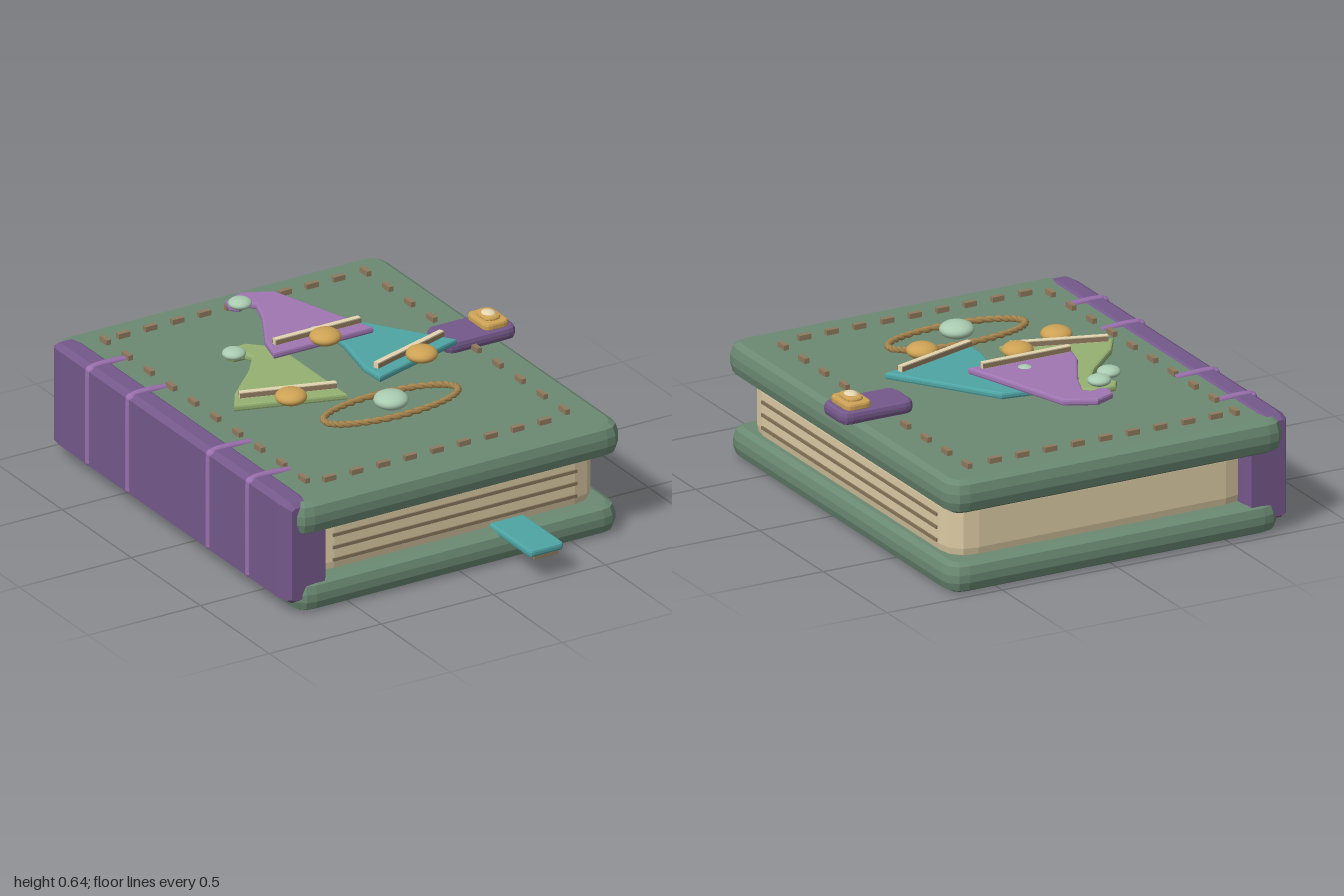
import * as THREE from 'three';

const COLORS = {
  cover: 0x6b8a73, spine: 0x74588a, cord: 0x9b70ae, pages: 0xdccba4, line: 0x857559,
  thread: 0x8f7a5e, green: 0x94b072, purple: 0xa076b2, teal: 0x4fa5a5,
  pom: 0xa9cbb0, gold: 0xcda255, cream: 0xe3d5b0, rope: 0xa9874f,
};
const mats = {};
for (const k in COLORS) {
  mats[k] = new THREE.MeshStandardMaterial({ color: COLORS[k] });
}

function add(parent, name, geo, mat, x = 0, y = 0, z = 0) {
  const m = new THREE.Mesh(geo, mats[mat]);
  m.name = name;
  m.position.set(x, y, z);
  parent.add(m);
  return m;
}

function roundedRect(w, d, r) {
  const s = new THREE.Shape(), x = w / 2, y = d / 2;
  s.moveTo(-x + r, -y);
  s.lineTo(x - r, -y).quadraticCurveTo(x, -y, x, -y + r);
  s.lineTo(x, y - r).quadraticCurveTo(x, y, x - r, y);
  s.lineTo(-x + r, y).quadraticCurveTo(-x, y, -x, y - r);
  s.lineTo(-x, -y + r).quadraticCurveTo(-x, -y, -x + r, -y);
  return s;
}

// Lies flat, centred in height
function flatExtrude(shape, height, thick, size, segments = 2, curveSegments = 3) {
  const g = new THREE.ExtrudeGeometry(shape, {
    depth: height - 2 * thick, bevelThickness: thick, bevelSize: size,
    bevelSegments: segments, curveSegments,
  });
  g.translate(0, 0, thick - height / 2);
  return g.rotateX(-Math.PI / 2);
}

// Bevelled slab given by its outer limits
function slab(parent, name, mat, [x0, x1], [y0, y1], [z0, z1], r, thick, size) {
  const shape = roundedRect(x1 - x0 - 2 * size, z1 - z0 - 2 * size, r);
  return add(parent, name, flatExtrude(shape, y1 - y0, thick, size), mat,
    (x0 + x1) / 2, (y0 + y1) / 2, (z0 + z1) / 2);
}

function pebble(parent, name, mat, r, h, x, y, z) {
  return add(parent, name, new THREE.SphereGeometry(r, 24, 16), mat, x, y, z).scale.y = h / r;
}

function bar(parent, name, mat, w, h, d, x, y, z) {
  return add(parent, name, new THREE.BoxGeometry(w, h, d), mat, x, y, z);
}

// Pointed hat with a curled tip, brim band, bell and pompom
function hat(parent, mat, x, y, z, angle) {
  const g = new THREE.Group();
  g.name = mat + 'Hat';
  const outline = [[-0.212, 0.01], [0.212, 0.01], [0.165, 0.15], [0.064, 0.47],
    [-0.048, 0.525], [-0.125, 0.492], [-0.135, 0.455], [-0.115, 0.435],
    [-0.068, 0.448], [-0.04, 0.415], [-0.082, 0.3], [-0.185, 0.11]];
  const shape = new THREE.Shape(outline.map(p => new THREE.Vector2(...p)));
  add(g, 'hatBody', flatExtrude(shape, 0.028, 0.009, 0.009), mat);
  bar(g, 'hatBand', 'cream', 0.38, 0.024, 0.022, 0, 0.034, -0.052);
  for (const s of [-1, 1]) bar(g, 'bandEdge', 'thread', 0.38, 0.018, 0.006, 0, 0.034, -0.052 + s * 0.012);
  pebble(g, 'bell', 'gold', 0.062, 0.031, -0.004, 0.038, 0.017);
  pebble(g, 'pompom', 'pom', pomRadius(mat), 0.022, -0.122, 0.036, -0.41);
  g.position.set(x, y, z);
  g.rotation.y = angle;
  parent.add(g);
}
function pomRadius(mat) { return mat === 'teal' ? 0.036 : 0.046; }

export function createModel() {
  const book = new THREE.Group();
  book.name = 'book';

  // Covers and page block
  slab(book, 'bottomCover', 'cover', [-0.735, 0.71], [0, 0.122], [-0.98, 0.785], 0.05, 0.045, 0.035);
  slab(book, 'topCover', 'cover', [-0.75, 0.717], [0.327, 0.462], [-0.995, 0.795], 0.05, 0.05, 0.035);
  slab(book, 'pages', 'pages', [-0.64, 0.66], [0.1, 0.35], [-0.903, 0.705], 0.09, 0.05, 0.025);

  // Page lines on the front and fore edge
  for (let i = 0; i < 4; i++) {
    const y = 0.16 + i * 0.052;
    bar(book, 'pageLine', 'line', 1.09, 0.013, 0.014, 0.01, y, 0.704);
    bar(book, 'pageLine', 'line', 0.014, 0.013, 1.37, 0.659, y, -0.097);
  }

  // Spine, chamfered at both ends
  const profile = [[-0.753, 0.068], [-0.74, 0.06], [-0.69, 0.06], [-0.606, 0.11], [-0.606, 0.4],
    [-0.69, 0.448], [-0.74, 0.448], [-0.753, 0.44]];
  const spine = new THREE.ExtrudeGeometry(
    new THREE.Shape(profile.map(p => new THREE.Vector2(...p))),
    { depth: 1.585, bevelThickness: 0.07, bevelSize: 0.02, bevelSegments: 2 });
  add(book, 'spine', spine, 'spine', 0, 0, -0.89);

  // Cords wrapped over the spine
  const cordPath = new THREE.CatmullRomCurve3([
    [-0.585, 0.456], [-0.68, 0.462], [-0.745, 0.46], [-0.764, 0.44], [-0.765, 0.25], [-0.765, 0.07],
  ].map(([x, y]) => new THREE.Vector3(x, y, 0)), false, 'catmullrom', 0.3);
  for (const z of [-0.688, -0.397, 0.185, 0.472]) {
    add(book, 'spineCord', new THREE.TubeGeometry(cordPath, 32, 0.016, 8), 'cord', 0, 0, z);
    pebble(book, 'cordKnot', 'cord', 0.022, 0.022, -0.756, 0.448, z);
    pebble(book, 'cordKnot', 'cord', 0.02, 0.02, -0.76, 0.07, z);
  }

  // Stitching around the top cover
  for (let i = 0; i < 9; i++) {
    for (const z of [-0.852, 0.64]) bar(book, 'stitch', 'thread', 0.052, 0.022, 0.02, -0.51 + i * 0.12, 0.472, z);
  }
  for (let i = 0; i < 10; i++) {
    for (const x of [-0.595, 0.567]) bar(book, 'stitch', 'thread', 0.02, 0.022, 0.052, x, 0.472, -0.846 + i * 0.16);
  }

  // Three overlapping hats
  hat(book, 'green', -0.315, 0.497, 0.045, -0.31);
  hat(book, 'teal', 0.254, 0.535, 0.05, 0.3);
  hat(book, 'purple', -0.013, 0.572, -0.206, 0);

  // Oval rope of two twisted strands with a stone in the middle
  for (const phase of [0, Math.PI]) {
    const pts = [];
    for (let i = 0; i < 160; i++) {
      const a = i / 160 * Math.PI * 2, t = a * 20 + phase, k = 0.005 * Math.cos(t);
      pts.push(new THREE.Vector3(Math.cos(a) * (0.294 + k), 0.005 * Math.sin(t), Math.sin(a) * (0.102 + k)));
    }
    const path = new THREE.CatmullRomCurve3(pts, true);
    add(book, 'ropeRing', new THREE.TubeGeometry(path, 320, 0.009, 6, true), 'rope', -0.016, 0.515, 0.285);
  }
  pebble(book, 'centreStone', 'pom', 0.068, 0.034, -0.016, 0.536, 0.285);

  // Clasp
  slab(book, 'claspStrap', 'spine', [0.453, 0.77], [0.457, 0.511], [-0.243, -0.063], 0.03, 0.02, 0.015);
  slab(book, 'claspPlate', 'gold', [0.632, 0.743], [0.503, 0.537], [-0.228, -0.08], 0.02, 0.01, 0.01);
  slab(book, 'claspBoss', 'gold', [0.652, 0.723], [0.53, 0.551], [-0.205, -0.103], 0.02, 0.008, 0.012);
  const stone = add(book, 'claspStone', new THREE.SphereGeometry(1, 20, 14), 'cream', 0.687, 0.546, -0.152);
  stone.scale.set(0.028, 0.015, 0.034);

  // Ribbon bookmark with stitches on its underside
  slab(book, 'bookmark', 'teal', [0.167, 0.322], [0.107, 0.137], [0.3, 0.995], 0.012, 0.01, 0.008);
  for (const z of [0.94, 0.982]) bar(book, 'bookmarkStitch', 'thread', 0.105, 0.014, 0.012, 0.244, 0.1, z);

  return book;
}
